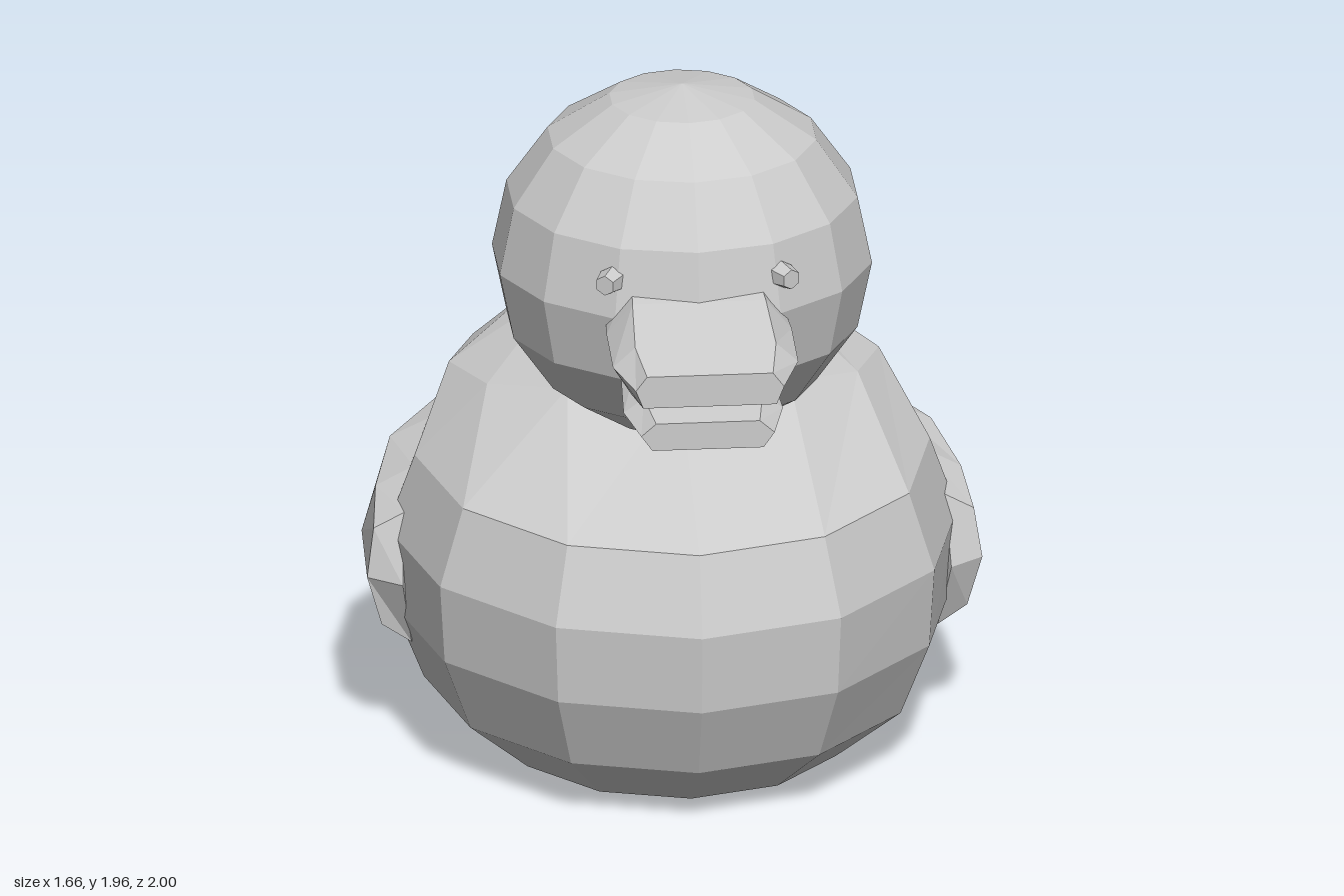
import * as THREE from 'three';

const grey = new THREE.MeshStandardMaterial({ color: 0xcccccc, flatShading: true });
grey.name = 'plain grey';

// Faceted skin over rings of points that run counter-clockwise about the direction of travel.
// Each end is closed by a fan to its given centre, or to the mean of its ring.
function loft(rings, startCentre, endCentre) {
  const pos = [];
  const tri = (a, b, c) => pos.push(...a, ...b, ...c);
  const mean = (r) => [0, 1, 2].map((k) => r.reduce((s, p) => s + p[k], 0) / r.length);
  const n = rings[0].length;
  const first = rings[0], last = rings[rings.length - 1];
  const c0 = startCentre || mean(first), c1 = endCentre || mean(last);
  for (let j = 0; j < n; j++) {
    const k = (j + 1) % n;
    for (let i = 0; i < rings.length - 1; i++) {
      const a = rings[i][j], b = rings[i][k], c = rings[i + 1][k], d = rings[i + 1][j];
      tri(a, b, c);
      tri(a, c, d);
    }
    tri(c0, first[k], first[j]);
    tri(c1, last[j], last[k]);
  }
  const geo = new THREE.BufferGeometry();
  geo.setAttribute('position', new THREE.Float32BufferAttribute(pos, 3));
  geo.computeVertexNormals();
  return geo;
}

function part(name, geo) {
  const mesh = new THREE.Mesh(geo, grey);
  mesh.name = name;
  return mesh;
}

// Level oval of twelve points, starting at the front
function oval(y, rx, rz, cz) {
  return Array.from({ length: 12 }, (_, i) => {
    const a = (i * Math.PI) / 6;
    return [rx * Math.sin(a), y, cz + rz * Math.cos(a)];
  });
}

// Full ring from seven points of the left half, front to back
function mirrorRing(half) {
  const other = half.slice(1, -1).reverse().map(([x, y, z]) => [-x, y, z]);
  return [...half, ...other];
}

// Six-sided bill section: half widths and heights at top, middle and bottom
function billRing(z, wt, wm, wb, yt, ym, yb) {
  return [[wm, ym, z], [wt, yt, z], [-wt, yt, z], [-wm, ym, z], [-wb, yb, z], [wb, yb, z]];
}

export function createModel() {
  const model = new THREE.Group();
  model.name = 'duck';

  // Body: oval rings, then a raised back that sweeps up to the tail tip
  model.add(part('body', loft([
    oval(0, 0.48, 0.55, -0.1),
    oval(0.16, 0.67, 0.775, -0.105),
    oval(0.37, 0.755, 0.875, -0.11),
    oval(0.59, 0.77, 0.89, -0.11),
    oval(0.8, 0.695, 0.805, -0.105),
    mirrorRing([[0, 1.06, 0.14], [0.3, 1.05, 0.08], [0.5, 1.0, -0.1], [0.58, 0.97, -0.35],
      [0.49, 0.94, -0.62], [0.28, 1.03, -0.77], [0, 1.15, -0.95]]),
    mirrorRing([[0, 1.17, -0.29], [0.15, 1.16, -0.33], [0.27, 1.13, -0.45], [0.31, 1.1, -0.58],
      [0.25, 1.08, -0.71], [0.14, 1.09, -0.82], [0, 1.13, -0.92]]),
    oval(1.09, 0.12, 0.1, -0.8),
  ], [0, 0, -0.1], [0, 1.07, -0.8])));

  // Head: faceted ball with a vertex line at the front
  const headGeo = new THREE.SphereGeometry(1, 14, 8);
  headGeo.rotateY(Math.PI / 2);
  headGeo.scale(0.515, 0.49, 0.515);
  const head = part('head', headGeo);
  head.position.set(0, 1.47, 0.18);
  model.add(head);

  // Bill halves
  model.add(part('upperBill', loft([
    billRing(0.55, 0.17, 0.24, 0.18, 1.55, 1.45, 1.32),
    billRing(0.68, 0.18, 0.25, 0.19, 1.525, 1.44, 1.325),
    billRing(0.87, 0.19, 0.25, 0.2, 1.475, 1.42, 1.34),
    billRing(1.0, 0.17, 0.2, 0.18, 1.44, 1.4, 1.35),
  ])));
  model.add(part('lowerBill', loft([
    billRing(0.55, 0.15, 0.2, 0.16, 1.33, 1.28, 1.23),
    billRing(0.8, 0.16, 0.215, 0.17, 1.3, 1.26, 1.212),
    billRing(0.94, 0.14, 0.18, 0.15, 1.28, 1.245, 1.203),
  ])));

  // Wings: rim against the body, raised outer rim and a bulging middle
  const rim = [[0.74, 0.48, 0.04], [0.73, 0.66, -0.04], [0.69, 0.73, -0.2], [0.61, 0.775, -0.45],
    [0.4, 0.825, -0.77], [0.5, 0.68, -0.72], [0.62, 0.33, -0.5], [0.68, 0.23, -0.26], [0.71, 0.29, -0.03]];
  const raised = [[0.83, 0.48, -0.03], [0.81, 0.61, -0.06], [0.79, 0.67, -0.22], [0.73, 0.72, -0.45],
    [0.46, 0.81, -0.75], [0.6, 0.68, -0.69], [0.74, 0.42, -0.5], [0.78, 0.31, -0.26], [0.79, 0.34, -0.04]];
  const middle = [0.82, 0.51, -0.3];
  const flip = ([x, y, z]) => [-x, y, z];
  model.add(part('leftWing', loft([[...rim].reverse(), [...raised].reverse()], null, middle)));
  model.add(part('rightWing', loft([rim.map(flip), raised.map(flip)], null, flip(middle))));

  // Eyes: small six-sided studs facing out from the head
  for (const side of [1, -1]) {
    const eyeGeo = new THREE.CylinderGeometry(0.028, 0.038, 0.05, 6);
    eyeGeo.rotateX(Math.PI / 2);
    const eye = part(side > 0 ? 'leftEye' : 'rightEye', eyeGeo);
    eye.position.set(side * 0.24, 1.57, 0.63);
    eye.rotation.y = side * 0.5;
    model.add(eye);
  }
  return model;
}
